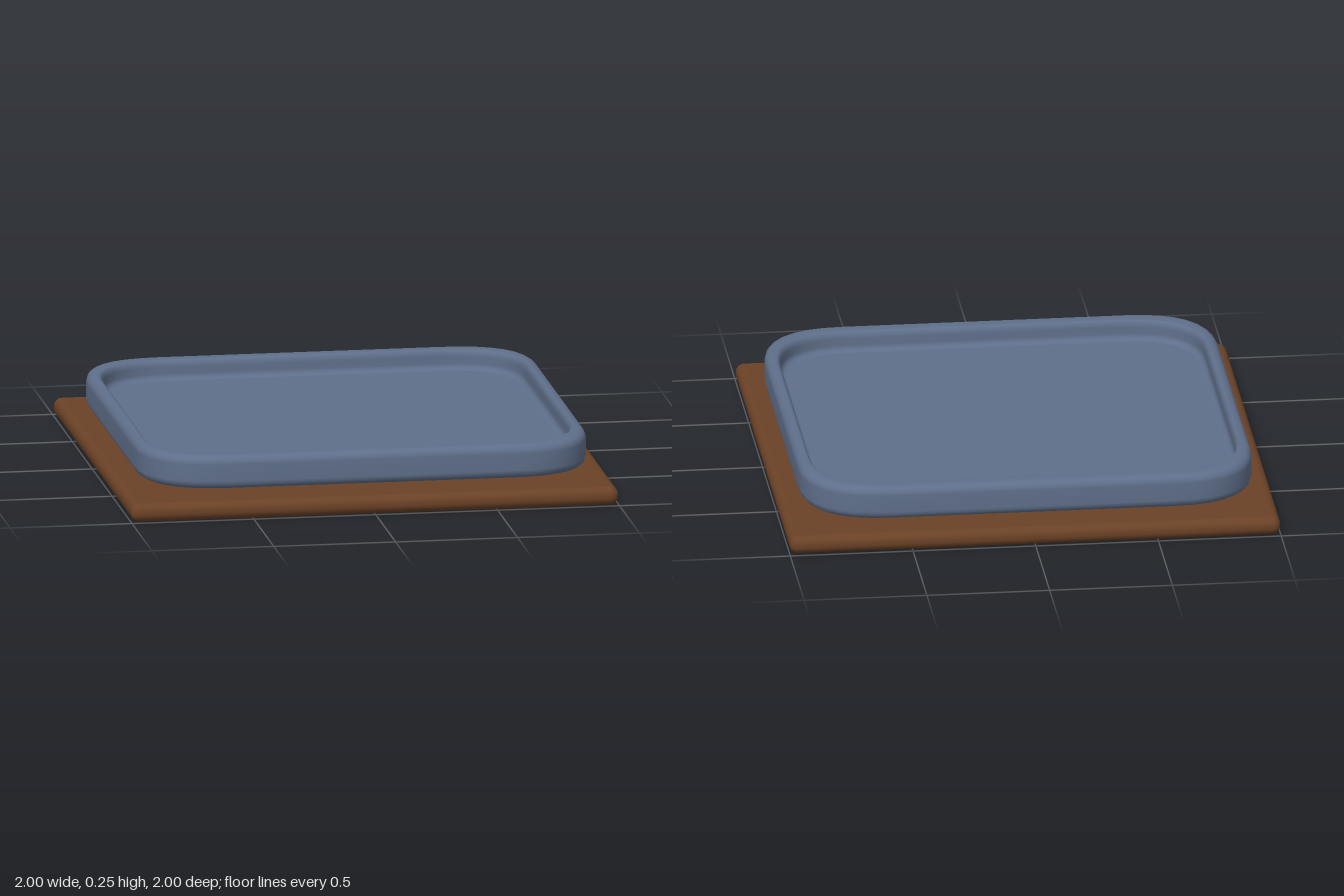
import * as THREE from 'three';
import { RoundedBoxGeometry } from 'three/addons/geometries/RoundedBoxGeometry.js';

const CORNER_STEPS = 8;

// Rectangle with softly curved corners in the ground plane: half sizes hx, hz and corner length r
function ring(hx, hz, r, y) {
  const points = [];
  for (let q = 0; q < 4; q++) {
    const sx = q === 0 || q === 3 ? 1 : -1;
    const sz = q < 2 ? 1 : -1;
    for (let i = 0; i <= CORNER_STEPS; i++) {
      const t = i / CORNER_STEPS;
      const u = sx === sz ? t : 1 - t;
      points.push([sx * (hx - r * u * u), y, sz * (hz - r * (1 - u) * (1 - u))]);
    }
  }
  return points;
}

// Smooth skin through rings that share the same point count
function loft(rings) {
  const n = rings[0].length;
  const index = [];
  for (let j = 0; j < rings.length - 1; j++) {
    for (let i = 0; i < n; i++) {
      const a = j * n + i, b = j * n + (i + 1) % n;
      index.push(a, a + n, b, b, a + n, b + n);
    }
  }
  const geometry = new THREE.BufferGeometry();
  geometry.setAttribute('position', new THREE.Float32BufferAttribute(rings.flat(2), 3));
  geometry.setIndex(index);
  geometry.computeVertexNormals();
  return geometry;
}

// Flat lid over a ring, facing up or down
function cap(points, up) {
  const shape = new THREE.Shape(points.map(([x, , z]) => new THREE.Vector2(x, up ? -z : z)));
  const geometry = new THREE.ShapeGeometry(shape);
  geometry.rotateX(up ? -Math.PI / 2 : Math.PI / 2);
  geometry.translate(0, points[0][1], 0);
  return geometry;
}

export function createModel() {
  const model = new THREE.Group();
  const brown = new THREE.MeshStandardMaterial({ color: 0x6b4226 });
  const blue = new THREE.MeshStandardMaterial({ color: 0x5f6f8a });
  const add = (parent, name, geometry, material) => {
    const mesh = new THREE.Mesh(geometry, material);
    mesh.name = name;
    parent.add(mesh);
  };

  // Thin base board with rounded edges
  const board = new RoundedBoxGeometry(2, 0.075, 2, 4, 0.035);
  board.translate(0, 0.0375, 0);
  add(model, 'baseBoard', board, brown);

  // Tray floating just above the board
  const tray = new THREE.Group();
  tray.name = 'tray';
  model.add(tray);

  const bottom = 0.108, top = 0.247, floor = 0.165, bevel = 0.035, fillet = 0.025;
  const rings = [];
  const outer = (inset, y) => rings.push(ring(0.923 - inset, 0.923 - inset, 0.345 - inset, y));
  const inner = (inset, y) => rings.push(ring(0.865 - inset, 0.835 - inset, 0.315 - inset, y));
  const quarter = [0, 1, 2, 3, 4].map((i) => i / 4 * Math.PI / 2);
  // Lower bevel, outer wall and upper bevel
  for (const a of quarter) outer(bevel * (1 - Math.sin(a)), bottom + bevel * (1 - Math.cos(a)));
  for (const a of quarter) outer(bevel * (1 - Math.cos(a)), top - bevel * (1 - Math.sin(a)));
  // Rim top rolls over into the recess
  for (const a of quarter) inner(-0.018 * (1 - Math.sin(a)), top - 0.03 * (1 - Math.cos(a)));
  // Concave fillet from the inner wall to the floor
  for (const a of quarter) inner(fillet * (1 - Math.cos(a)), floor + fillet * (1 - Math.sin(a)));
  add(tray, 'trayRim', loft(rings), blue);
  add(tray, 'trayFloor', cap(rings[rings.length - 1], true), blue);
  add(tray, 'trayUnderside', cap(rings[0], false), blue);

  return model;
}
